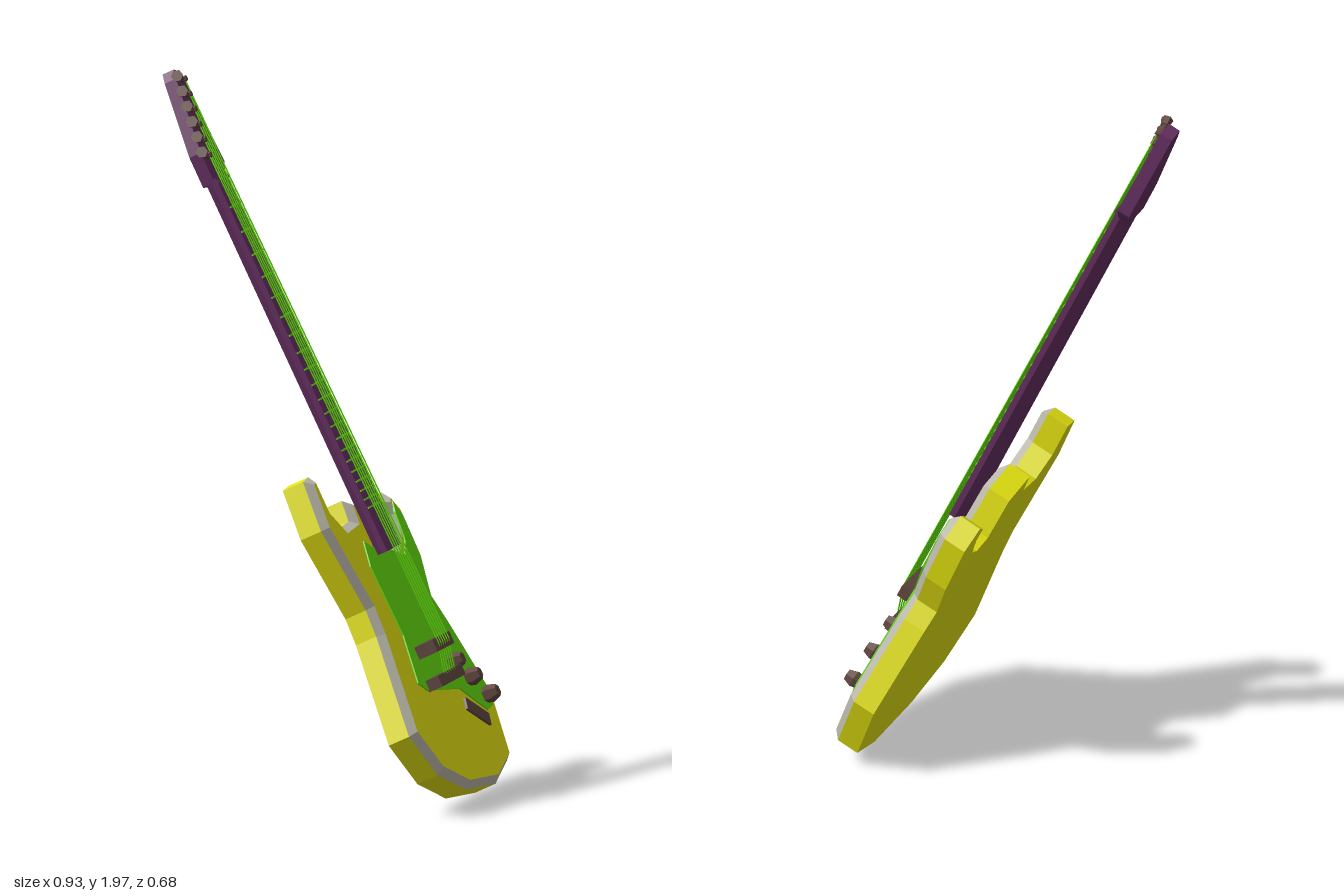
import * as THREE from 'three';

const mat = (name, color) => {
  const m = new THREE.MeshStandardMaterial({ color, flatShading: true });
  m.name = name;
  return m;
};

const shapeOf = (pts) => new THREE.Shape(pts.map(([x, y]) => new THREE.Vector2(x, y)));

// Joins rings of equal point count, listed anticlockwise around the direction of travel
function loft(rings, capped) {
  const pos = [];
  const n = rings[0].length;
  const tri = (...ps) => ps.forEach((p) => pos.push(...p));
  for (let r = 0; r + 1 < rings.length; r++) {
    const a = rings[r], b = rings[r + 1];
    for (let i = 0; i < n; i++) {
      const j = (i + 1) % n;
      tri(a[i], a[j], b[j]);
      tri(a[i], b[j], b[i]);
    }
  }
  if (capped) {
    const a = rings[0], b = rings[rings.length - 1];
    for (let i = 1; i + 1 < n; i++) {
      tri(a[0], a[i + 1], a[i]);
      tri(b[0], b[i], b[i + 1]);
    }
  }
  const g = new THREE.BufferGeometry();
  g.setAttribute('position', new THREE.Float32BufferAttribute(pos, 3));
  g.computeVertexNormals();
  return g;
}

// Moves an anticlockwise outline inward with mitred corners
function inset(pts, d) {
  const n = pts.length;
  return pts.map(([x, y], i) => {
    const p = pts[(i + n - 1) % n], q = pts[(i + 1) % n];
    const e = new THREE.Vector2(x - p[0], y - p[1]).normalize();
    const f = new THREE.Vector2(q[0] - x, q[1] - y).normalize();
    const m = new THREE.Vector2(-e.y - f.y, e.x + f.x);
    const k = (2 * d) / Math.max(m.lengthSq(), 1.6);
    return [x + m.x * k, y + m.y * k];
  });
}

export function createModel() {
  const yellow = mat('yellow body paint', 0xe4e210);
  const rimGrey = mat('pale grey binding', 0xbab7aa);
  const green = mat('green', 0x64de0e);
  const purple = mat('purple wood', 0x642e60);
  const brown = mat('brown hardware', 0x62473f);

  // Built upright: x across, y along the neck, z out of the playing face
  const guitar = new THREE.Group();
  guitar.name = 'guitar';
  const add = (name, geo, material, x = 0, y = 0, z = 0) => {
    const m = new THREE.Mesh(geo, material);
    m.name = name;
    m.position.set(x, y, z);
    guitar.add(m);
    return m;
  };
  const extrude = (pts, depth) =>
    new THREE.ExtrudeGeometry(shapeOf(pts), { depth, bevelEnabled: false });
  const rod = (name, a, b, r, material, sides = 4, r2 = r) => {
    const s = new THREE.Vector3(...a), e = new THREE.Vector3(...b);
    const m = add(name, new THREE.CylinderGeometry(r2, r, s.distanceTo(e), sides), material);
    m.position.copy(s).lerp(e, 0.5);
    m.quaternion.setFromUnitVectors(new THREE.Vector3(0, 1, 0), e.sub(s).normalize());
    return m;
  };

  // Body with two horns, a bevelled binding and a flat top
  const outline = [
    [0.117, 0.013], [0.275, 0.055], [0.34, 0.23], [0.25, 0.485], [0.222, 0.543],
    [0.27, 0.65], [0.291, 0.8], [0.244, 0.86], [0.201, 0.838], [0.206, 0.796],
    [0.175, 0.737], [0.122, 0.714], [0.064, 0.732], [0.042, 0.855], [-0.064, 0.89],
    [-0.08, 0.832], [-0.17, 0.826], [-0.222, 0.885], [-0.222, 0.99], [-0.275, 0.985],
    [-0.307, 0.843], [-0.244, 0.596], [-0.254, 0.52], [-0.344, 0.237], [-0.265, 0.108],
    [-0.111, 0.037],
  ];
  const inner = inset(outline, 0.02);
  const atZ = (pts, z) => pts.map(([x, y]) => [x, y, z]);
  add('body', extrude(outline, 0.064), yellow);
  add('bodyBinding', loft([atZ(outline, 0.064), atZ(inner, 0.085)], false), rimGrey);
  add('bodyTop', new THREE.ShapeGeometry(shapeOf(inner)), yellow, 0, 0, 0.085);

  // Pickguard
  const guard = [
    [0.233, 0.826], [0.217, 0.797], [0.2, 0.72], [0.148, 0.68], [0.042, 0.72],
    [-0.064, 0.744], [-0.1, 0.767], [-0.132, 0.697], [-0.122, 0.49], [-0.17, 0.355],
    [-0.127, 0.326], [0.106, 0.29], [0.238, 0.202], [0.29, 0.208], [0.307, 0.255],
    [0.238, 0.46], [0.2, 0.55], [0.255, 0.66], [0.26, 0.78],
  ];
  add('pickguard', extrude(guard, 0.006), green, 0, 0, 0.083);

  // Neck: flat front, faceted back, narrowing towards the nut
  const V0 = 0.715, V1 = 1.83;
  const edge = (y) => {
    const t = (y - V0) / (V1 - V0);
    return { l: -0.073 + 0.009 * t, r: 0.045 - 0.018 * t, z: 0.128 - 0.008 * t };
  };
  const section = (y) => {
    const { l, r, z } = edge(y);
    const w = (r - l) * 0.25;
    return [[l, y, z], [r, y, z], [r, y, z - 0.017], [r - w, y, z - 0.042],
      [l + w, y, z - 0.042], [l, y, z - 0.017]];
  };
  add('neck', loft([section(V0), section(V1)], true), purple);

  // Frets, closer together towards the body
  for (let i = 0; i <= 21; i++) {
    const y = 0.43 + 1.39 * Math.pow(2, -i / 12);
    if (y < V0 + 0.01) continue;
    const { l, r, z } = edge(y);
    add('fret', new THREE.BoxGeometry(r - l - 0.004, 0.005, 0.005), green, (l + r) / 2, y, z + 0.001);
  }

  // Headstock
  add('headstock', extrude([
    [-0.062, 1.82], [0.028, 1.81], [0.078, 1.86], [0.055, 2.13], [0.015, 2.145],
    [0.0, 2.12], [-0.063, 1.91],
  ], 0.036), purple, 0, 0, 0.074);

  // Six tuners along the slanted edge, and the strings running to them
  for (let i = 0; i < 6; i++) {
    const t = i / 5;
    const x = -0.058 + 0.07 * t, y = 1.905 + 0.215 * t;
    rod('tunerShaft', [x + 0.025, y - 0.012, 0.114], [x - 0.02, y + 0.002, 0.121], 0.008, brown, 6);
    rod('tunerKey', [x - 0.015, y, 0.12], [x - 0.038, y + 0.007, 0.126], 0.012, brown, 6, 0.017);
    rod('tunerPost', [x + 0.018, y - 0.01, 0.1], [x + 0.018, y - 0.01, 0.128], 0.008, brown, 6);
    const xb = -0.058 + 0.088 * t, xn = -0.055 + 0.073 * t;
    rod('stringTail', [xb, 0.34, 0.125], [xb, 0.43, 0.148], 0.0022, green);
    rod('string', [xb, 0.43, 0.148], [xn, 1.82, 0.128], 0.0022, green);
    rod('stringHead', [xn, 1.82, 0.128], [x + 0.018, y - 0.01, 0.122], 0.0022, green);
  }
  add('nut', new THREE.BoxGeometry(0.09, 0.01, 0.01), purple, -0.0185, 1.82, 0.12);

  // Bridge and tailpiece
  add('bridge', new THREE.BoxGeometry(0.146, 0.036, 0.062), brown, -0.016, 0.428, 0.116);
  add('tailpiece', new THREE.BoxGeometry(0.204, 0.032, 0.044), brown, -0.014, 0.335, 0.106);

  // Three control knobs
  for (const [x, y] of [[0.117, 0.363], [0.19, 0.304], [0.26, 0.24]]) {
    rod('knobBase', [x, y, 0.084], [x, y, 0.106], 0.02, brown, 6, 0.026);
    rod('knobCap', [x, y, 0.106], [x, y, 0.13], 0.026, brown, 6, 0.017);
  }

  // Socket plate
  add('socketPlate', new THREE.BoxGeometry(0.135, 0.036, 0.009), brown, 0.155, 0.212, 0.088)
    .rotation.z = -0.54;

  // Lean the guitar back with its face towards +x
  guitar.rotation.set(0, Math.PI / 2, 0.45, 'ZYX');
  guitar.position.set(0.39, 0, 0);
  const model = new THREE.Group();
  model.name = 'leaningGuitar';
  model.add(guitar);
  return model;
}
